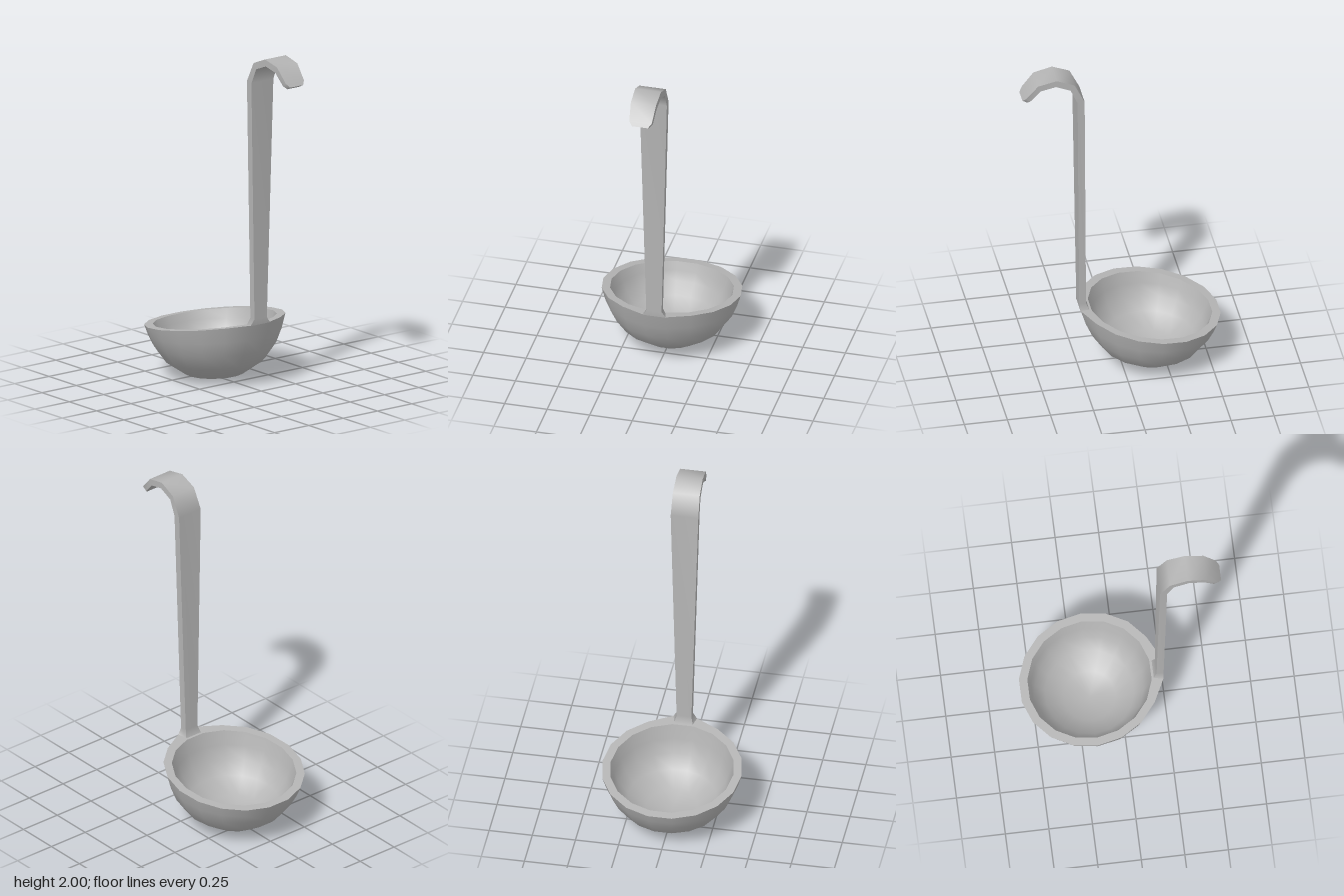
import * as THREE from 'three';
import { mergeVertices } from 'three/addons/utils/BufferGeometryUtils.js';

const steel = new THREE.MeshStandardMaterial({ color: 0xb4b4b4 });
steel.name = 'brushed steel';

// Smooth surface through rows of points
function surface(rows, name) {
  const cols = rows[0].length, index = [];
  for (let i = 0; i < rows.length - 1; i++) {
    for (let j = 0; j < cols - 1; j++) {
      const a = i * cols + j, b = a + 1, c = a + cols, d = c + 1;
      index.push(a, b, c, b, d, c);
    }
  }
  let geometry = new THREE.BufferGeometry();
  geometry.setAttribute('position', new THREE.Float32BufferAttribute(rows.flat(2), 3));
  geometry.setIndex(index);
  geometry = mergeVertices(geometry, 1e-5);
  geometry.computeVertexNormals();
  const mesh = new THREE.Mesh(geometry, steel);
  mesh.name = name;
  return mesh;
}

// One 18-sided bowl ring; slope lifts the front and drops the back
function ring([radius, height, slope, lip = 0]) {
  const points = [];
  for (let j = 0; j <= 18; j++) {
    const a = ((j % 18) / 18) * Math.PI * 2;
    let z = radius * Math.sin(a);
    if (lip && z > radius * 0.9) z += lip;
    points.push([radius * Math.cos(a), height + slope * z, z - 0.175]);
  }
  return points;
}

function createBowl() {
  const bowl = new THREE.Group();
  bowl.name = 'bowl';
  // radius, height, slope, front lip
  const inner = [
    [0, 0.045, 0], [0.15, 0.065, 0.04], [0.255, 0.13, 0.04],
    [0.31, 0.2, 0.05], [0.335, 0.27, 0.09], [0.355, 0.3375, 0.14],
  ];
  const outer = [
    [0.403, 0.3375, 0.14, 0.018], [0.382, 0.265, 0.09, 0.009], [0.35, 0.19, 0.05],
    [0.29, 0.105, 0.04], [0.17, 0.022, 0.04], [0, 0.0, 0],
  ];
  bowl.add(
    surface(inner.map(ring), 'bowlInside'),
    surface([ring(inner[5]), ring(outer[0])], 'bowlRim'),
    surface(outer.map(ring), 'bowlOutside'),
  );
  return bowl;
}

function createHandle() {
  const handle = new THREE.Group();
  handle.name = 'handle';
  // front half-width, y, z, then back half-width, y, z, from foot to hook tip
  const sections = [
    [0.07, 0.393, 0.241, 0.055, 0.382, 0.185],
    [0.045, 0.43, 0.245, 0.043, 0.43, 0.205],
    [0.08, 1.835, 0.261, 0.08, 1.84, 0.22],
    [0.078, 1.925, 0.301, 0.078, 1.958, 0.278],
    [0.076, 1.96, 0.386, 0.076, 2.0, 0.38],
    [0.074, 1.94, 0.472, 0.074, 1.975, 0.488],
    [0.066, 1.873, 0.532, 0.066, 1.892, 0.558],
    [0.047, 1.855, 0.547, 0.047, 1.87, 0.575],
  ];
  const corners = sections.map(([wf, yf, zf, wb, yb, zb]) => [
    [-wf, yf, zf], [wf, yf, zf], [wb, yb, zb], [-wb, yb, zb],
  ]);
  ['handleFront', 'handleLeftEdge', 'handleBack', 'handleRightEdge'].forEach((name, k) => {
    handle.add(surface(corners.map((c) => [c[k], c[(k + 1) % 4]]), name));
  });
  const tip = corners[corners.length - 1];
  handle.add(surface([[tip[0], tip[1]], [tip[3], tip[2]]], 'hookTip'));
  return handle;
}

export function createModel() {
  const ladle = new THREE.Group();
  ladle.name = 'ladle';
  ladle.add(createBowl(), createHandle());
  return ladle;
}
